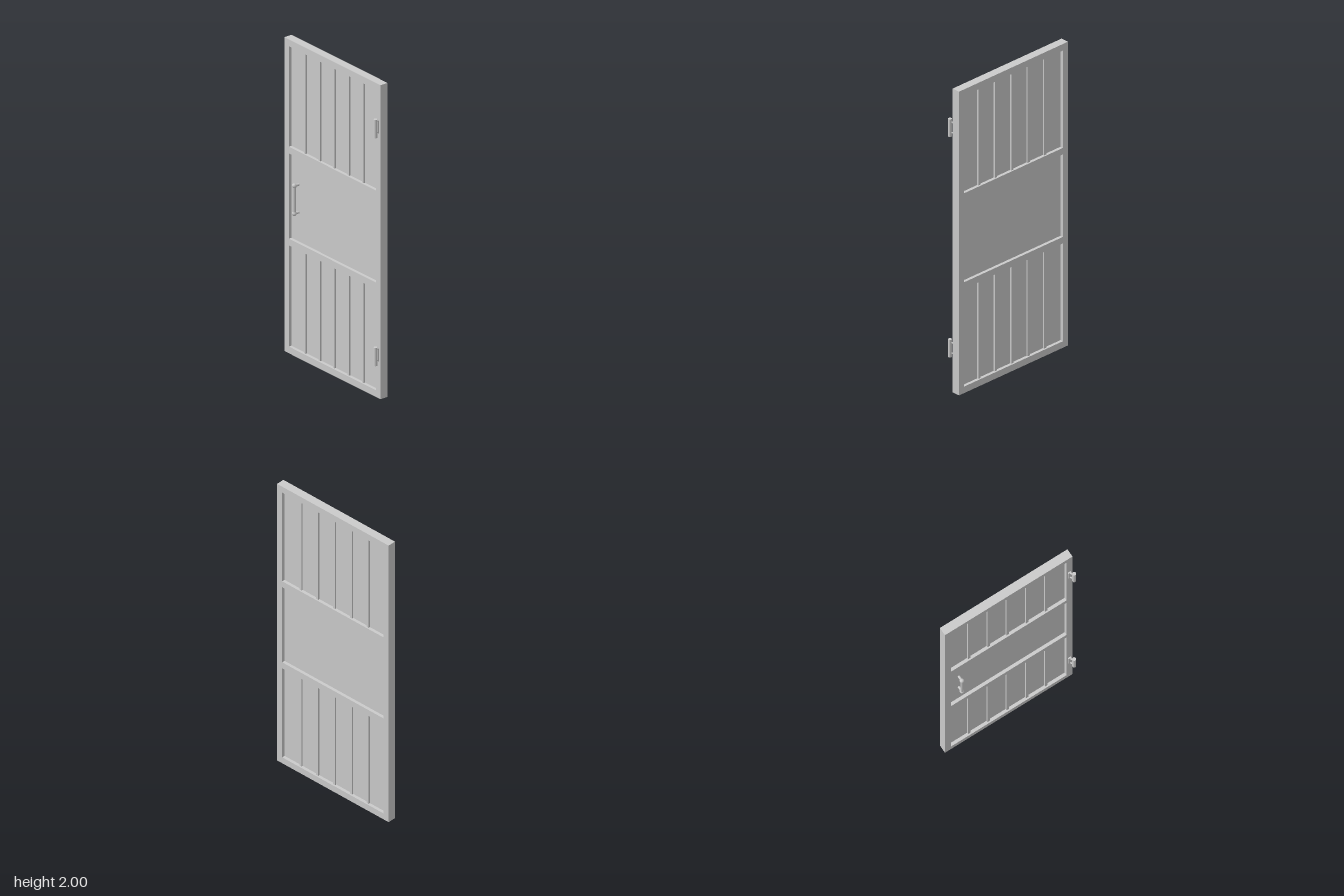
import * as THREE from 'three';

const smooth = new THREE.MeshStandardMaterial({ color: 0xcccccc });
const flat = new THREE.MeshStandardMaterial({ color: 0xcccccc, flatShading: true });

function add(parent, name, geometry, material, x = 0, y = 0, z = 0) {
  const mesh = new THREE.Mesh(geometry, material);
  mesh.name = name;
  mesh.position.set(x, y, z);
  parent.add(mesh);
  return mesh;
}

// Round bar between two points
function bar(parent, name, from, to, radius, sides = 8) {
  const a = new THREE.Vector3(...from), b = new THREE.Vector3(...to);
  const dir = b.clone().sub(a);
  const mesh = add(parent, name, new THREE.CylinderGeometry(radius, radius, dir.length(), sides), smooth);
  mesh.position.copy(a).add(b).multiplyScalar(0.5);
  mesh.quaternion.setFromUnitVectors(new THREE.Vector3(0, 1, 0), dir.normalize());
}

function rectangle(path, u0, u1, v0, v1) {
  path.moveTo(u0, v0);
  path.lineTo(u1, v0);
  path.lineTo(u1, v1);
  path.lineTo(u0, v1);
  path.closePath();
  return path;
}

export function createModel() {
  const door = new THREE.Group();
  door.name = 'door';

  const xBack = -0.007, xFace = 0.047, xMid = 0.02;
  const zMin = -0.446, zMax = 0.442, zMid = -0.002, half = 0.403;
  const openings = [[0.043, 0.687], [0.73, 1.273], [1.316, 1.957]];

  // Frame with three openings, cut in the z-y plane and extruded through x
  const shape = rectangle(new THREE.Shape(), zMin, zMax, 0, 2);
  for (const [y0, y1] of openings) {
    shape.holes.push(rectangle(new THREE.Path(), zMid - half, zMid + half, y0, y1));
  }
  const frame = new THREE.ExtrudeGeometry(shape, { depth: xFace - xBack, bevelEnabled: false });
  frame.rotateY(-Math.PI / 2);
  add(door, 'frame', frame, flat, xFace);

  // Recessed panels; the outer two carry battens on both faces
  openings.forEach(([y0, y1], i) => {
    const y = (y0 + y1) / 2, h = y1 - y0;
    add(door, 'panel', new THREE.BoxGeometry(0.014, h, 2 * half), flat, xMid, y, zMid);
    if (i === 1) return;
    for (let k = -2; k <= 2; k++) {
      add(door, 'batten', new THREE.BoxGeometry(0.034, h, 0.017), flat, xMid, y, zMid + k * 0.134);
    }
  });

  // Pull handle: upright bar, ball ends and pegs into the middle panel
  const handle = new THREE.Group();
  handle.name = 'handle';
  const hx = -0.021, hz = -0.337, handleEnds = [0.917, 1.094];
  bar(handle, 'grip', [hx, handleEnds[0], hz], [hx, handleEnds[1], hz], 0.01);
  for (const y of handleEnds) {
    add(handle, 'handleBall', new THREE.SphereGeometry(0.0148, 8, 6), smooth, hx, y, hz);
    bar(handle, 'handlePeg', [hx, y, hz], [0.015, y, hz], 0.008);
  }
  door.add(handle);

  // Two hinges: pin standing off the door on a plate with two slanted arms
  for (const y of [0.279, 1.731]) {
    const hinge = new THREE.Group();
    hinge.name = 'hinge';
    hinge.position.y = y;
    bar(hinge, 'hingePin', [-0.037, -0.058, 0.434], [-0.037, 0.058, 0.434], 0.0115, 16);
    add(hinge, 'hingePlate', new THREE.BoxGeometry(0.009, 0.084, 0.02), flat, -0.011, 0, 0.419);
    for (const s of [-1, 1]) {
      bar(hinge, 'hingeArm', [-0.037, s * 0.034, 0.434], [-0.009, s * 0.034, 0.419], 0.0055);
    }
    door.add(hinge);
  }
  return door;
}
